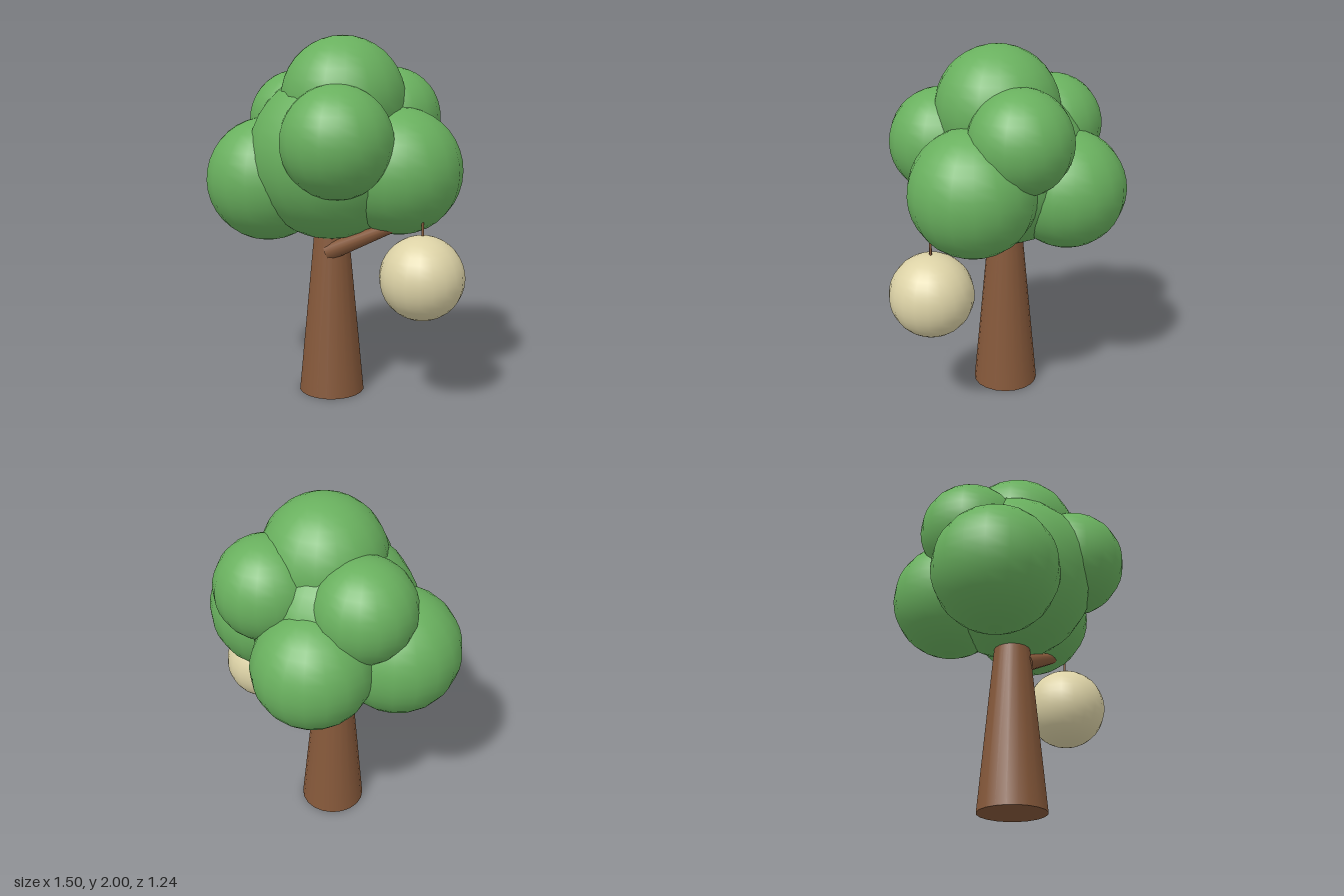
import * as THREE from 'three';

export function createModel() {
  const model = new THREE.Group();
  model.name = 'tree';

  const material = (name, color) => {
    const m = new THREE.MeshStandardMaterial({ color });
    m.name = name;
    return m;
  };
  const leaf = material('leaf green', 0x69b05e);
  const bark = material('bark brown', 0x85583a);
  const cream = material('fruit cream', 0xdcd2a6);

  const add = (name, geometry, mat, x, y, z) => {
    const mesh = new THREE.Mesh(geometry, mat);
    mesh.name = name;
    mesh.position.set(x, y, z);
    model.add(mesh);
    return mesh;
  };

  // tapered trunk, its top hidden in the crown
  add('trunk', new THREE.CylinderGeometry(0.09, 0.185, 1, 20), bark, -0.05, 0.5, 0.035);

  // branch leaning from the trunk into the crown above the fruit
  const start = new THREE.Vector3(-0.033, 0.822, 0.1);
  const end = new THREE.Vector3(0.46, 1.05, 0.098);
  const direction = end.clone().sub(start);
  const middle = start.clone().lerp(end, 0.5);
  const branch = add('branch', new THREE.CylinderGeometry(0.025, 0.05, direction.length(), 12),
    bark, middle.x, middle.y, middle.z);
  branch.quaternion.setFromUnitVectors(new THREE.Vector3(0, 1, 0), direction.normalize());

  // leafy crown: name, radius, centre
  const crown = [
    ['crownCore', 0.46, -0.05, 1.35, 0.035],
    ['crownTop', 0.34, 0.02, 1.66, 0.035],
    ['crownRight', 0.345, -0.405, 1.21, 0.12],
    ['crownLeft', 0.345, 0.325, 1.28, -0.035],
    ['crownFront', 0.297, 0.13, 1.46, 0.328],
    ['crownUpperRight', 0.28, -0.32, 1.53, -0.085],
    ['crownUpperBack', 0.28, 0.185, 1.55, -0.235],
    ['crownLowerBack', 0.325, -0.16, 1.23, -0.3],
  ];
  for (const [name, radius, x, y, z] of crown) {
    add(name, new THREE.SphereGeometry(radius, 18, 18), leaf, x, y, z);
  }

  // hanging fruit and its stem
  add('fruit', new THREE.SphereGeometry(0.228, 20, 18), cream, 0.52, 0.738, 0.098);
  add('fruitStem', new THREE.CylinderGeometry(0.007, 0.007, 0.11, 8), bark, 0.52, 1.0, 0.098);

  return model;
}
